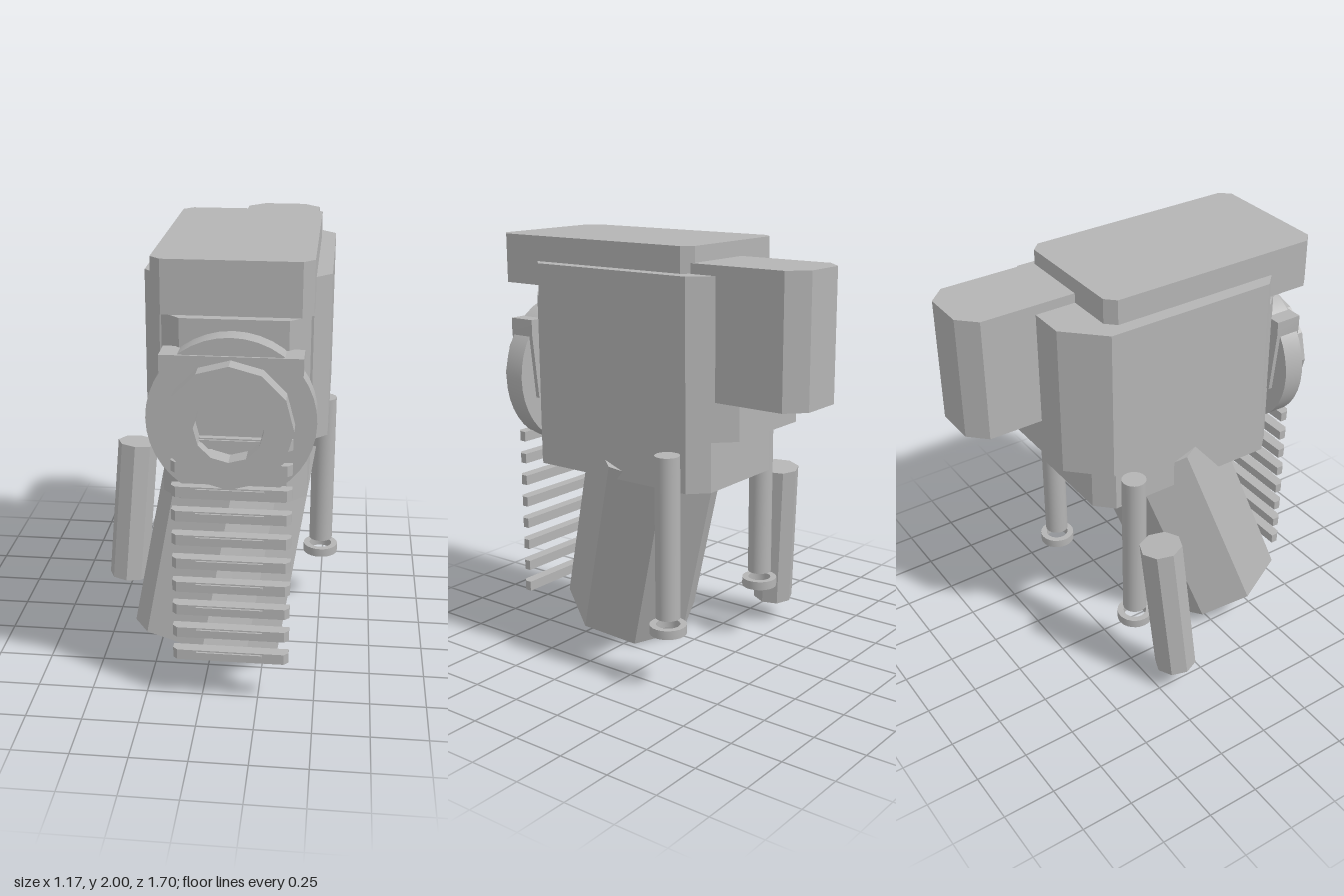
import * as THREE from 'three';
import { toCreasedNormals } from 'three/addons/utils/BufferGeometryUtils.js';

const CX = 0.125; // the body's own centre line

export function createModel() {
  const group = new THREE.Group();
  const grey = new THREE.MeshStandardMaterial({ color: 0xb4b4b4 });
  grey.name = 'grey';

  const add = (name, geo, parent = group) => {
    const mesh = new THREE.Mesh(toCreasedNormals(geo, 0.35), grey);
    mesh.name = name;
    parent.add(mesh);
    return mesh;
  };

  // Upright block with vertical corners cut by cf (front) and cb (back)
  const block = (x0, x1, y0, y1, z0, z1, cf, cb) => {
    const pts = [
      [x0 + cf, z1], [x1 - cf, z1], [x1, z1 - cf], [x1, z0 + cb],
      [x1 - cb, z0], [x0 + cb, z0], [x0, z0 + cb], [x0, z1 - cf],
    ].map(([x, z]) => new THREE.Vector2(x, -z));
    const geo = new THREE.ExtrudeGeometry(new THREE.Shape(pts), { depth: y1 - y0, bevelEnabled: false });
    return geo.rotateX(-Math.PI / 2).translate(0, y0, 0);
  };

  // Regular polygon outline with a vertex at the top
  const polygon = (r, n) => Array.from({ length: n }, (_, i) => {
    const a = Math.PI / 2 + (i / n) * Math.PI * 2;
    return new THREE.Vector2(r * Math.cos(a), r * Math.sin(a));
  });
  const ring = (r, hole, n, depth) => {
    const shape = new THREE.Shape(polygon(r, n));
    shape.holes.push(new THREE.Path(polygon(hole, n).reverse()));
    return new THREE.ExtrudeGeometry(shape, { depth, bevelEnabled: false });
  };

  // Body blocks
  add('topCap', block(-0.2, 0.455, 1.775, 2, -0.31, 0.795, 0.045, 0.045));
  add('outerBody', block(-0.265, 0.52, 1.175, 1.885, -0.505, 0.56, 0.07, 0.165));
  add('innerCore', block(-0.185, 0.44, 0.92, 1.725, -0.36, 0.66, 0.085, 0.08));
  add('neck', block(-0.1, 0.355, 1.72, 1.78, -0.3, 0.59, 0.01, 0.01));
  add('rearBlock', block(0.07, 0.43, 1.35, 1.93, -0.845, -0.3, 0.001, 0.08));

  // Round front fitting
  const disk = new THREE.CylinderGeometry(0.355, 0.355, 0.1, 40).rotateX(Math.PI / 2);
  add('frontDisk', disk.translate(CX, 1.322, 0.71));
  const outline = [[0.295, 1.6], [-0.295, 1.6], [-0.295, 1.53], [-0.26, 1.22], [0.26, 1.22], [0.295, 1.53]];
  const plate = new THREE.Shape(outline.map(([x, y]) => new THREE.Vector2(x, y)));
  add('frontBracket', new THREE.ExtrudeGeometry(plate, { depth: 0.13, bevelEnabled: false })
    .translate(CX, 0, 0.64));
  add('frontRing', ring(0.266, 0.145, 12, 0.09).translate(CX, 1.32, 0.765));

  // Ladder of front slats, each with a thin raised strip
  const slats = new THREE.Group();
  slats.name = 'frontSlats';
  group.add(slats);
  for (let i = 0; i < 10; i++) {
    const y = 0.205 + i * 0.1117;
    add('slat', block(-0.125, 0.385, y, y + 0.048, 0.745, 0.798, 0.02, 0.001), slats);
    add('slatStrip', new THREE.BoxGeometry(0.29, 0.012, 0.009).translate(CX, y + 0.036, 0.8025), slats);
  }

  // Slanted eight-sided trunk: one section swept upward and back
  const section = [
    [-0.357, 0.165, 0.4], [-0.265, 0.235, 0.63], [0, 0.225, 0.745], [0.19, 0.175, 0.66],
    [0.32, 0.07, 0.44], [0.22, 0, 0.205], [-0.03, 0.01, 0.095], [-0.255, 0.07, 0.19],
  ];
  const n = section.length, rise = 0.91;
  const upper = section.map(([x, y, z]) => [x + 0.16 * rise, y + rise, z - 0.33 * rise]);
  const index = [];
  for (let i = 0; i < n; i++) {
    const j = (i + 1) % n;
    index.push(i, j, n + j, i, n + j, n + i);
    if (i > 0 && i < n - 1) index.push(0, i + 1, i, n, n + i, n + i + 1);
  }
  const trunk = new THREE.BufferGeometry();
  trunk.setAttribute('position', new THREE.Float32BufferAttribute([...section, ...upper].flat(), 3));
  trunk.setIndex(index);
  trunk.computeVertexNormals();
  add('slantedTrunk', trunk);

  // Pair of side posts with ring feet
  for (const s of [-1, 1]) {
    const post = new THREE.Group();
    post.name = s > 0 ? 'leftPost' : 'rightPost';
    post.position.set(CX + s * 0.37, 0, -0.222);
    group.add(post);
    add('postShaft', new THREE.CylinderGeometry(0.057, 0.057, 0.755, 24).translate(0, 0.7225, 0), post);
    add('postFoot', ring(0.085, 0.055, 24, 0.042).rotateX(-Math.PI / 2).translate(0, 0.27, 0), post);
  }

  // Leaning separate canister
  const low = new THREE.Vector3(-0.487, 0.118, -0.148);
  const high = new THREE.Vector3(-0.435, 0.835, -0.204);
  const axis = high.clone().sub(low);
  const canister = add('sideCanister', new THREE.CylinderGeometry(0.1, 0.1, axis.length(), 8));
  canister.position.copy(low).add(high).multiplyScalar(0.5);
  canister.quaternion.setFromUnitVectors(new THREE.Vector3(0, 1, 0), axis.normalize());

  return group;
}
